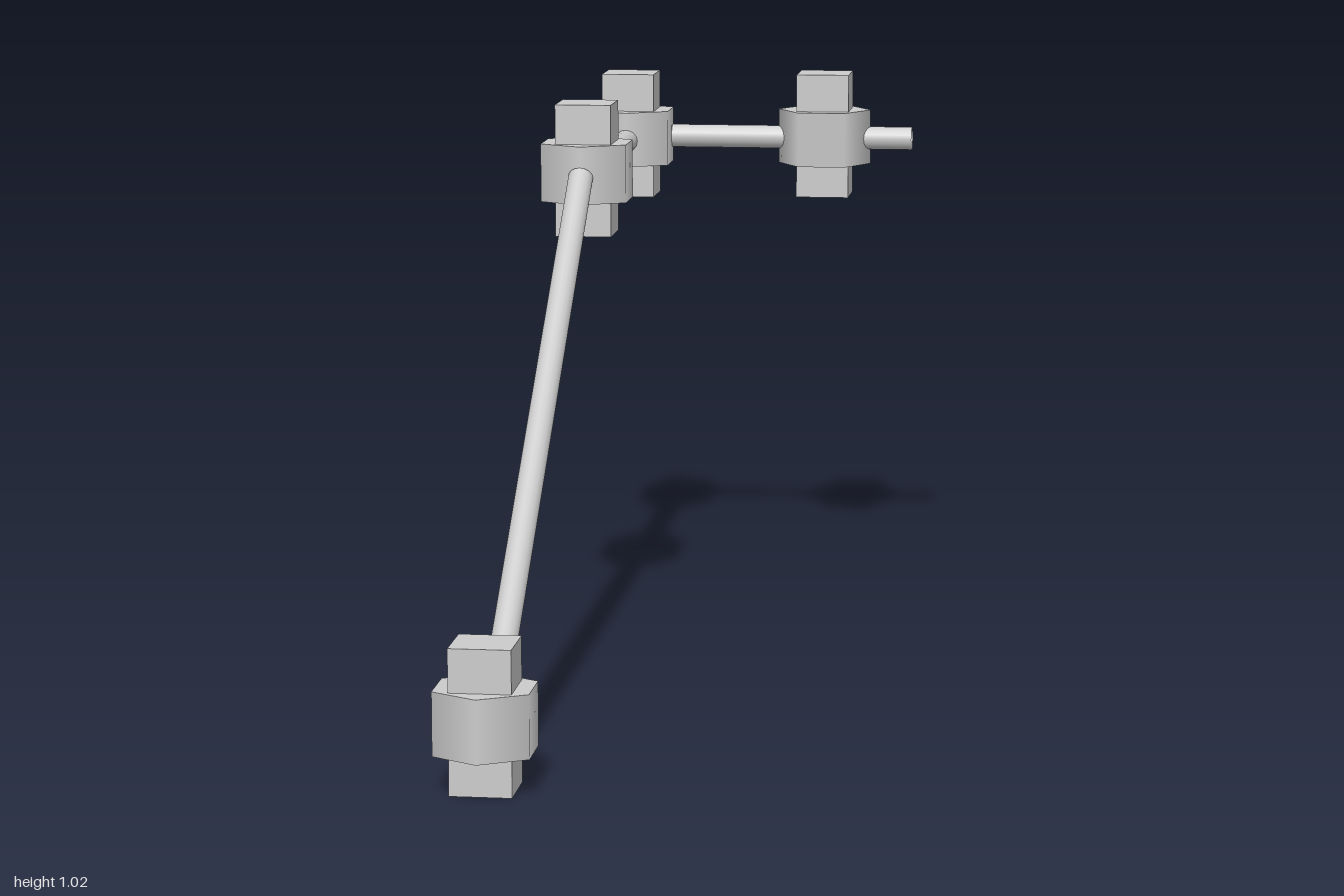
import * as THREE from 'three';

export function createModel() {
  const model = new THREE.Group();
  const material = new THREE.MeshStandardMaterial({ color: 0xcccccc, side: THREE.DoubleSide });

  const add = (parent, name, geometry, y = 0) => {
    const mesh = new THREE.Mesh(geometry, material);
    mesh.name = name;
    mesh.position.y = y;
    parent.add(mesh);
    return mesh;
  };

  // Square post with a smooth-shaded six-sided collar; the foot is hollow below
  const postTop = new THREE.BoxGeometry(0.106, 0.075, 0.106);
  const collar = new THREE.CylinderGeometry(0.094, 0.094, 0.11, 6);
  const postFoot = new THREE.CylinderGeometry(0.075, 0.075, 0.065, 4, 1, true)
    .rotateY(Math.PI / 4).toNonIndexed();
  postFoot.computeVertexNormals();

  const addPost = (x, y, z, turn = 0) => {
    const post = new THREE.Group();
    post.name = 'post';
    post.position.set(x, y, z);
    post.rotation.y = turn;
    add(post, 'postTop', postTop, 0.2125);
    add(post, 'collar', collar, 0.12);
    add(post, 'postFoot', postFoot, 0.0325);
    model.add(post);
  };
  addPost(-0.248, 0, 0.906);
  addPost(-0.248, 0.775, -0.265);
  addPost(-0.248, 0.775, -0.885);
  addPost(0.147, 0.775, -0.92, Math.PI / 2);

  // Open-ended round rail between two points
  const addRail = (name, a, b) => {
    const from = new THREE.Vector3(...a), to = new THREE.Vector3(...b);
    const along = to.clone().sub(from);
    const rail = add(model, name,
      new THREE.CylinderGeometry(0.0235, 0.0235, along.length(), 16, 1, true));
    rail.position.copy(from).lerp(to, 0.5);
    rail.quaternion.setFromUnitVectors(new THREE.Vector3(0, 1, 0), along.normalize());
  };
  addRail('slopedRail', [-0.248, 0.115, 0.833], [-0.248, 0.892, -0.185]);
  addRail('levelRail', [-0.248, 0.892, -0.34], [-0.248, 0.892, -0.81]);
  addRail('crossRail', [-0.19, 0.892, -0.922], [0.326, 0.892, -0.922]);

  return model;
}
